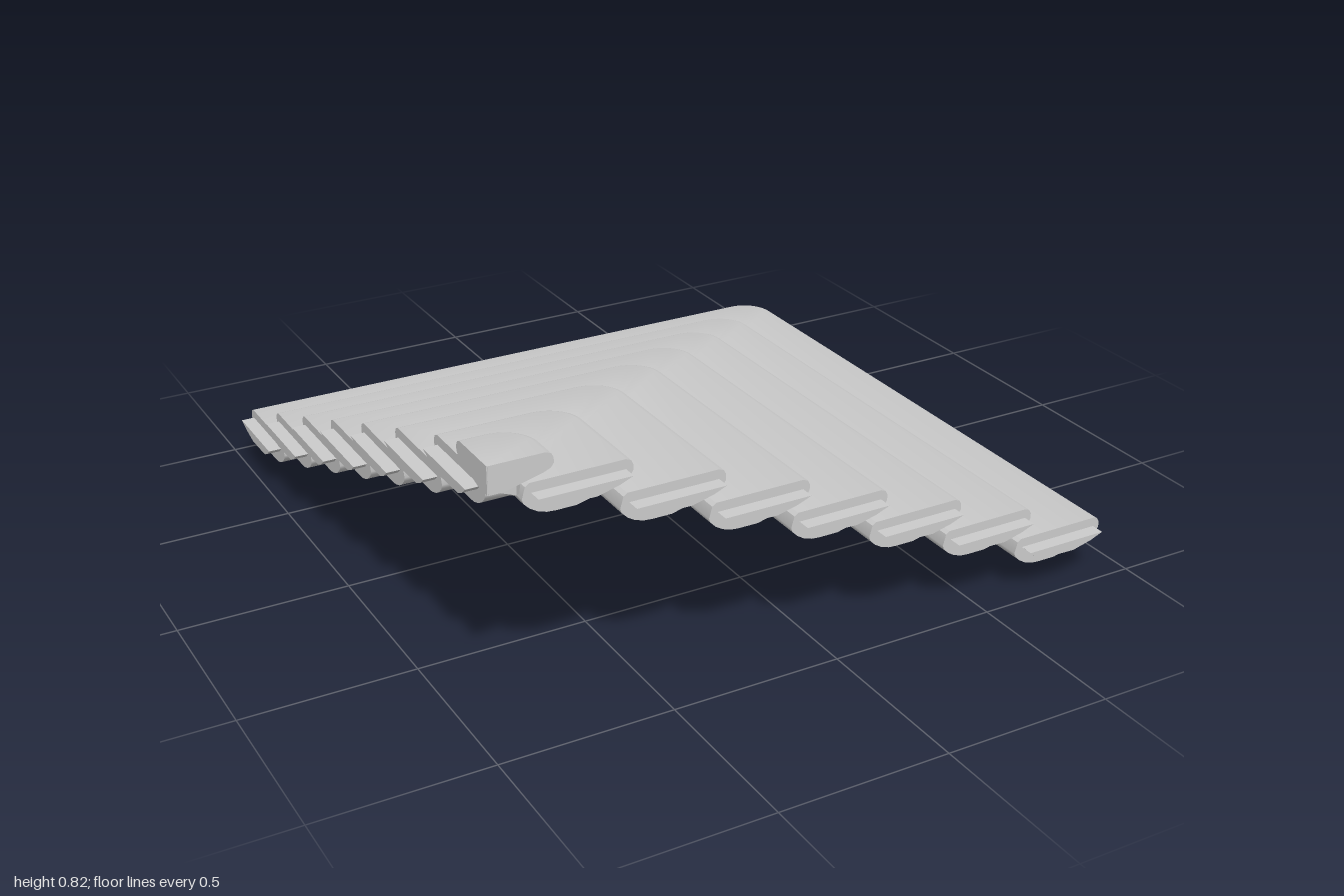
import * as THREE from 'three';
import { toCreasedNormals } from 'three/addons/utils/BufferGeometryUtils.js';

const material = new THREE.MeshStandardMaterial({ color: 0xcccccc });

// Tread section as [inset from outer edge, depth below top], counter-clockwise.
const treadSection = [
  [0.155, 0.09], [0.04, 0.061], [0.022, 0.056], [0.008, 0.047], [0, 0.034],
  [0, 0.018], [0.006, 0.006], [0.02, 0], [0.28, 0], [0.291, 0.008],
  [0.3, 0.04], [0.296, 0.052], [0.28, 0.068], [0.26, 0.08], [0.235, 0.088], [0.21, 0.09],
];
// Crescent tongue that sticks out of both tread ends.
const tongueSection = [
  [0.12, 0.058], [0.06, 0.043], [0.02, 0.027], [0.275, 0.027], [0.255, 0.044], [0.23, 0.056],
];
// Short solid section of the top tread.
const capSection = [
  [0.13, 0.077], [0.03, 0.052], [0.008, 0.043], [0, 0.032],
  [0, 0.018], [0.006, 0.006], [0.02, 0], [0.17, 0], [0.17, 0.077],
];

// Sweeps a section along an L with a rounded corner, from x = -end to z = end.
function sweepL(section, outer, top, end) {
  const arcSteps = 10, n = section.length, rings = arcSteps + 3;
  const points = section.map(([inset, depth]) => {
    const o = outer - inset, y = top - depth;
    const r = Math.min(Math.max(0.1 - inset, 0.02), o + end);
    const row = [new THREE.Vector3(-end, y, -o)];
    for (let k = 0; k <= arcSteps; k++) {
      const t = (k / arcSteps) * Math.PI / 2;
      row.push(new THREE.Vector3(o - r + r * Math.sin(t), y, -(o - r + r * Math.cos(t))));
    }
    row.push(new THREE.Vector3(o, y, end));
    return row;
  });
  const positions = [];
  const triangle = (a, b, c) => {
    const area = new THREE.Triangle(a, b, c).getArea();
    if (area > 1e-9) for (const p of [a, b, c]) positions.push(p.x, p.y, p.z);
  };
  for (let i = 0; i < rings - 1; i++) {
    for (let j = 0; j < n; j++) {
      const p = points[j], q = points[(j + 1) % n];
      triangle(p[i], q[i], q[i + 1]);
      triangle(p[i], q[i + 1], p[i + 1]);
    }
  }
  // Close both ends.
  const outline = section.map(([inset, depth]) => new THREE.Vector2(-inset, -depth));
  for (const [a, b, c] of THREE.ShapeUtils.triangulateShape(outline, [])) {
    triangle(points[a][rings - 1], points[b][rings - 1], points[c][rings - 1]);
    triangle(points[a][0], points[c][0], points[b][0]);
  }
  const geometry = new THREE.BufferGeometry();
  geometry.setAttribute('position', new THREE.Float32BufferAttribute(positions, 3));
  return toCreasedNormals(geometry, 0.6);
}

function addMesh(parent, geometry, name) {
  const mesh = new THREE.Mesh(geometry, material);
  mesh.name = name;
  parent.add(mesh);
}

export function createModel() {
  const model = new THREE.Group();
  model.name = 'cornerSteps';

  // Seven L-shaped treads, each smaller and higher than the last.
  const outers = [0.915, 0.662, 0.415, 0.167, -0.08, -0.332, -0.595];
  outers.forEach((outer, i) => {
    const top = 0.176 + i * 0.0923;
    const step = new THREE.Group();
    step.name = `step${i + 1}`;
    addMesh(step, sweepL(treadSection, outer, top, 0.96), 'tread');
    addMesh(step, sweepL(tongueSection, outer, top, 1), 'tongue');
    model.add(step);
  });

  // Small tread at the top corner.
  addMesh(model, sweepL(capSection, -0.828, 0.822, 1), 'topTread');

  // Sloping beam under the treads, along the diagonal.
  const s = Math.SQRT2, width = 0.07, slope = 0.374;
  const high = -0.93, low = 0.975;
  const topAt = (x) => 0.045 + slope * (low - x);
  const side = new THREE.Shape([
    new THREE.Vector2(high * s, topAt(high) - 0.055),
    new THREE.Vector2((low - 0.03) * s, 0.002),
    new THREE.Vector2((low - 0.015) * s, 0),
    new THREE.Vector2(low * s, 0),
    new THREE.Vector2(low * s, 0.045),
    new THREE.Vector2(high * s, topAt(high)),
  ]);
  const beam = new THREE.ExtrudeGeometry(side, { depth: width, bevelEnabled: false });
  beam.translate(0, 0, -width / 2).rotateY(Math.PI / 4);
  addMesh(model, beam, 'supportBeam');

  return model;
}
